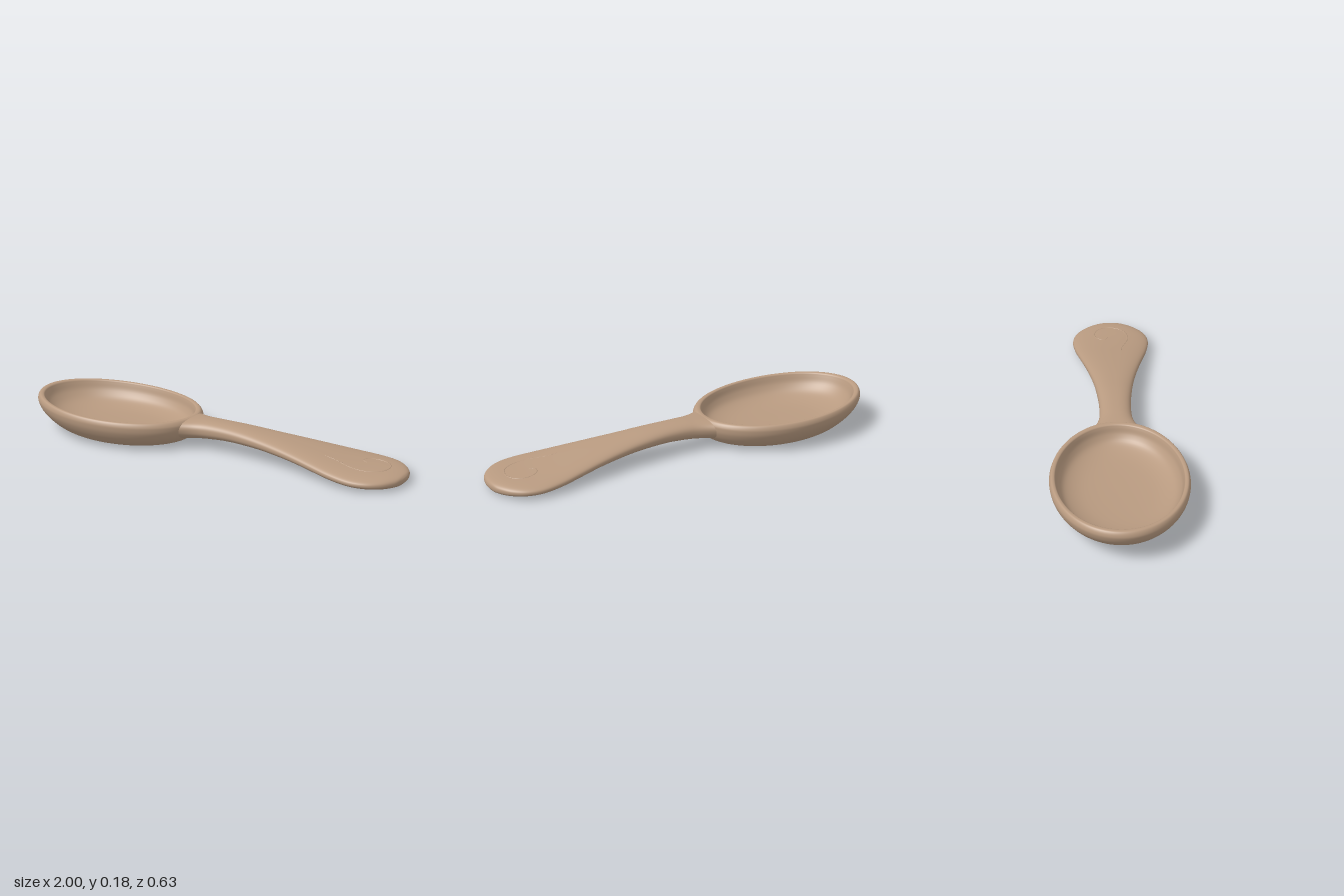
import * as THREE from 'three';
import { mergeVertices } from 'three/addons/utils/BufferGeometryUtils.js';

const wood = new THREE.MeshStandardMaterial({ color: 0xb89a80 });
wood.name = 'warm wood';

// Weld seams so the normals are smooth all round
function smooth(geo) {
  geo.deleteAttribute('uv');
  geo.deleteAttribute('normal');
  const g = mergeVertices(geo, 1e-5);
  g.computeVertexNormals();
  return g;
}

function addPart(group, name, geo) {
  const mesh = new THREE.Mesh(geo, wood);
  mesh.name = name;
  group.add(mesh);
}

// Bowl: unit lathe (radius, height fraction) stretched to an oval with a rising tip
function bowlGeometry() {
  const profile = [
    [0, 0], [0.4, 0], [0.6, 0.004], [0.72, 0.07], [0.83, 0.2], [0.92, 0.4], [0.98, 0.62],
    [1, 0.8], [0.995, 0.9], [0.975, 0.98], [0.95, 1], [0.92, 0.98], [0.905, 0.9],
    [0.87, 0.68], [0.78, 0.45], [0.6, 0.3], [0.35, 0.24], [0, 0.22],
  ].map(([r, f]) => new THREE.Vector2(r, f));
  const points = new THREE.SplineCurve(profile).getPoints(85);
  points.forEach((p) => { p.x = Math.max(p.x, 0); p.y = Math.max(p.y, 0); });
  const geo = new THREE.LatheGeometry(points, 96);
  const pos = geo.attributes.position;
  for (let i = 0; i < pos.count; i++) {
    const f = pos.getY(i), px = pos.getX(i), pz = pos.getZ(i);
    const lean = 0.06 * (1 - f) ** 2 * Math.hypot(px, pz);
    const rim = 0.143 + 0.035 * ((0.45 - 0.45 * px) / 0.9) ** 2;
    pos.setXYZ(i, -0.55 + 0.45 * px + lean, f * rim, 0.316 * pz);
  }
  return smooth(geo);
}

// Handle stations: x, half width, bottom, top
const STATIONS = [
  [-0.125, 0.15, 0.025, 0.142], [-0.09, 0.112, 0.036, 0.143], [-0.05, 0.088, 0.046, 0.144],
  [0, 0.078, 0.054, 0.145], [0.1, 0.078, 0.06, 0.143], [0.2, 0.086, 0.059, 0.138],
  [0.3, 0.098, 0.055, 0.129], [0.4, 0.116, 0.047, 0.119], [0.5, 0.138, 0.037, 0.107],
  [0.6, 0.163, 0.023, 0.094], [0.7, 0.187, 0.009, 0.081], [0.8, 0.2, 0.001, 0.071],
  [0.88, 0.185, 0, 0.066], [0.94, 0.143, 0.001, 0.062], [0.98, 0.087, 0.007, 0.055],
  [0.995, 0.042, 0.018, 0.045], [1, 0, 0.031, 0.032],
];
const widths = new THREE.CatmullRomCurve3(
  STATIONS.map(([x, w]) => new THREE.Vector3(x, w, 0)), false, 'catmullrom');
const heights = new THREE.CatmullRomCurve3(
  STATIONS.map(([x, , b, t]) => new THREE.Vector3(x, b, t)), false, 'catmullrom');
const ROWS = 112, SIDES = 64, POWER = 2.4;
const sections = Array.from({ length: ROWS + 1 }, (_, i) => {
  const a = widths.getPoint(i / ROWS), b = heights.getPoint(i / ROWS);
  return { x: a.x, w: Math.max(a.y, 0), mid: (b.y + b.z) / 2, half: (b.z - b.y) / 2 };
});

// Height of the handle's upper face at a point
function topHeight(x, z) {
  const s = sections.find((q) => q.x >= x);
  return s.mid + s.half * (1 - Math.min(1, Math.abs(z / s.w)) ** POWER) ** (1 / POWER);
}

// Handle: rounded sections, whose first ones wrap round the bowl wall
function handleGeometry() {
  const verts = [], index = [], ring = SIDES + 1;
  const round = (v) => Math.sign(v) * Math.abs(v) ** (2 / POWER);
  sections.forEach((s, i) => {
    const wrap = 1 - THREE.MathUtils.smoothstep(s.x, -0.125, 0.03);
    for (let j = 0; j <= SIDES; j++) {
      const a = (j / SIDES) * Math.PI * 2;
      const y = s.mid + s.half * round(Math.sin(a)), z = s.w * round(Math.cos(a));
      const shift = 2.2 * z * z + 0.12 * (Math.max(0, 0.14 - y) / 0.13) ** 2;
      verts.push(s.x - wrap * shift, y, z);
      if (i < ROWS && j < SIDES) {
        const p = i * ring + j, q = p + ring;
        index.push(p, q, p + 1, q, q + 1, p + 1);
      }
    }
  });
  const geo = new THREE.BufferGeometry();
  geo.setAttribute('position', new THREE.Float32BufferAttribute(verts, 3));
  geo.setIndex(index);
  return smooth(geo);
}

// Fine scroll ornament lying on the broad end of the handle
function scrollGeometry() {
  const path = [
    [0.62, 0.05], [0.67, 0.055], [0.72, 0.072], [0.78, 0.088], [0.85, 0.08], [0.9, 0.04],
    [0.912, -0.02], [0.885, -0.07], [0.83, -0.085], [0.785, -0.065], [0.775, -0.03], [0.8, -0.015],
  ].map(([x, z]) => new THREE.Vector3(x, 0, z));
  const onTop = new THREE.CatmullRomCurve3(path).getPoints(60);
  onTop.forEach((p) => { p.y = topHeight(p.x, p.z) - 0.002; });
  return new THREE.TubeGeometry(new THREE.CatmullRomCurve3(onTop), 120, 0.004, 8);
}

export function createModel() {
  const spoon = new THREE.Group();
  spoon.name = 'spoon';
  addPart(spoon, 'bowl', bowlGeometry());
  addPart(spoon, 'handle', handleGeometry());
  addPart(spoon, 'scrollOrnament', scrollGeometry());
  return spoon;
}
